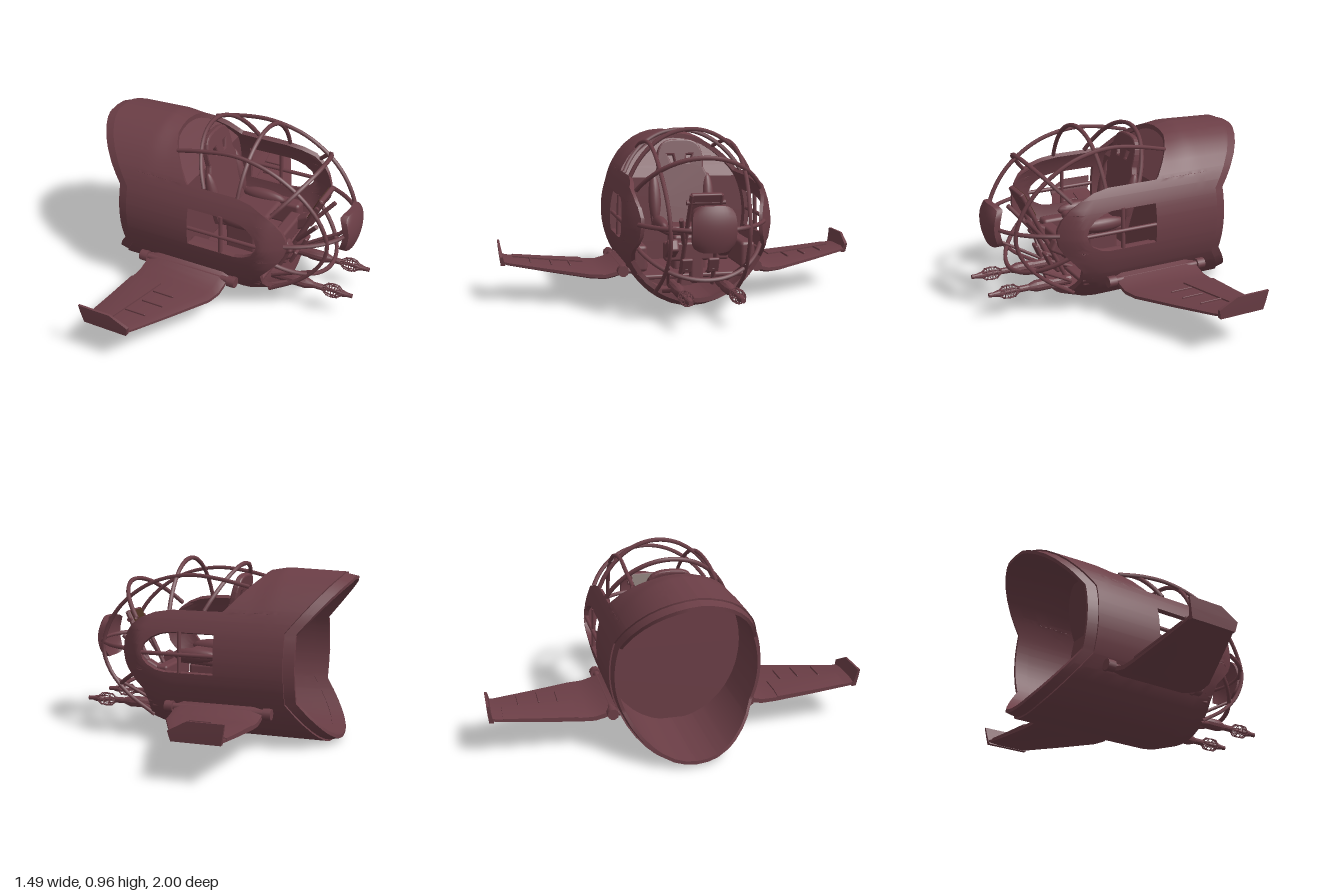
import * as THREE from 'three';
import { toCreasedNormals } from 'three/addons/utils/BufferGeometryUtils.js';
import { RoundedBoxGeometry } from 'three/addons/geometries/RoundedBoxGeometry.js';

const paint = new THREE.MeshStandardMaterial({ color: 0x6b3e46, side: THREE.DoubleSide });
const brown = new THREE.MeshStandardMaterial({ color: 0x4a3020 });
const V = (x, y, z) => new THREE.Vector3(x, y, z);
const ramp = (x, a, b) => THREE.MathUtils.clamp((x - a) / (b - a), 0, 1);

// Piecewise-linear lookup in [[key, value], ...]
function lerpTable(t, k) {
  if (k <= t[0][0]) return t[0][1];
  for (let i = 1; i < t.length; i++) {
    if (k <= t[i][0]) {
      const f = (k - t[i - 1][0]) / (t[i][0] - t[i - 1][0]);
      return t[i - 1][1] + f * (t[i][1] - t[i - 1][1]);
    }
  }
  return t[t.length - 1][1];
}

// Side outlines of the hull as x for each height y
const REAR = [[0, -0.64], [0.02, -0.63], [0.25, -0.47], [0.62, -0.47], [0.9, -0.69], [0.91, -0.69]];
const FRONT = [[0, 0.33], [0.06, 0.32], [0.18, 0.295], [0.27, 0.305], [0.34, 0.365], [0.38, 0.4], [0.42, 0.422], [0.47, 0.432],
  [0.52, 0.427], [0.57, 0.408], [0.62, 0.37], [0.66, 0.315], [0.69, 0.24], [0.705, 0.15], [0.706, -0.13], [0.72, -0.145],
  [0.885, -0.285], [0.91, -0.295]];
const WINDOW = [[0.385, 0.17], [0.395, 0.22], [0.42, 0.265], [0.45, 0.29], [0.49, 0.3], [0.53, 0.285], [0.565, 0.245], [0.585, 0.2], [0.595, 0.15]];
const rear = y => lerpTable(REAR, y), front = y => lerpTable(FRONT, y), win = y => lerpTable(WINDOW, y);
const MID = 0.455;
const hullZ = y => 0.395 * Math.sqrt(Math.max(0, 1 - ((y - MID) / MID) ** 2));

// Grid of closed rings joined into a skin, with caps on the first and last ring
function skin(rings) {
  const m = rings[0].length, pos = rings.flat().flatMap(p => [p.x, p.y, p.z]), idx = [];
  for (let i = 0; i + 1 < rings.length; i++) {
    for (let j = 0; j < m; j++) {
      const a = i * m + j, b = i * m + (j + 1) % m;
      idx.push(a, b, b + m, a, b + m, a + m);
    }
  }
  const last = (rings.length - 1) * m;
  for (let j = 0; j < m / 2 - 1; j++) {
    const a = j, b = j + 1, c = m - 2 - j, d = m - 1 - j;
    idx.push(a, c, b, a, d, c, last + a, last + b, last + c, last + a, last + c, last + d);
  }
  const g = new THREE.BufferGeometry();
  g.setAttribute('position', new THREE.Float32BufferAttribute(pos, 3));
  g.setIndex(idx);
  return toCreasedNormals(g, 0.6);
}

// Curved wall between two side outlines, with thickness; belly, nose and roof narrow toward the ends
function hullPanel(y0, y1, xa, xb, side, outerRear = 1, outerFront = 1, inner = 0.94) {
  const ys = new Set([y0, y1]);
  for (let i = 0; i <= 20; i++) ys.add(MID - MID * Math.cos(i * Math.PI / 20));
  for (const [y] of [...REAR, ...FRONT, ...WINDOW]) ys.add(y);
  const N = 22;
  const rows = [...ys].filter(y => y >= y0 && y <= y1).sort((a, b) => a - b);
  return skin(rows.map(y => {
    const up = Math.max(0, y / MID - 1);
    const at = (i, s) => {
      const x = xa(y) + (xb(y) - xa(y)) * i / N;
      const belly = 1 - 0.11 * ramp(x, 0.18, 0.33) * Math.max(0, 1 - y / MID);
      const roof = 1 - 0.035 * ramp(x, -0.38, -0.29) * up ** 4 - 0.025 * ramp(-x, 0.4, 0.7) * up ** 2;
      const nose = 1 - 0.2 * Math.max(0, (x - 0.31) / 0.12) ** 1.5;
      return V(x, MID + (y - MID) * s * belly * roof, side * hullZ(y) * s * belly * roof * nose);
    };
    const ring = [];
    for (let i = 0; i <= N; i++) ring.push(at(i, outerRear + (outerFront - outerRear) * i / N));
    for (let i = N; i >= 0; i--) ring.push(at(i, inner));
    return ring;
  }));
}

// Wing height, leading edge and half thickness along the span
const WING_Y = [[0.34, 0.2], [0.4, 0.178], [0.45, 0.166], [0.52, 0.168], [0.75, 0.19], [0.95, 0.212], [0.99, 0.222]];
const WING_X = [[0.34, 0.12], [0.45, 0.115], [0.53, 0.1], [0.95, -0.1], [0.99, -0.115]];
const WING_H = [[0.34, 0.027], [0.5, 0.021], [0.99, 0.014]];
const wingTop = z => lerpTable(WING_Y, z) + lerpTable(WING_H, z);

export function createModel() {
  const root = new THREE.Group();
  const add = (name, geo, parent = root, mat = paint) => {
    const m = new THREE.Mesh(geo, mat);
    m.name = name;
    parent.add(m);
    return m;
  };
  const box = (name, w, h, d, x, y, z, r = 0.01, parent = root) => {
    const m = add(name, new RoundedBoxGeometry(w, h, d, 2, r), parent);
    m.position.set(x, y, z);
    return m;
  };
  const rod = (name, pts, r, parent = root, seg = 40) =>
    add(name, new THREE.TubeGeometry(new THREE.CatmullRomCurve3(pts), seg, r, 6), parent);
  const bar = (name, a, b, r, parent = root) => {
    const m = add(name, new THREE.CylinderGeometry(r, r, a.distanceTo(b), 10), parent);
    m.position.copy(a).lerp(b, 0.5);
    m.quaternion.setFromUnitVectors(V(0, 1, 0), b.clone().sub(a).normalize());
    return m;
  };

  for (const s of [1, -1]) {
    // Hull half with its side window and tapered rear lip
    const hull = new THREE.Group();
    hull.name = s > 0 ? 'leftHull' : 'rightHull';
    root.add(hull);
    add('lowerHull', hullPanel(0, 0.385, rear, front, s), hull);
    add('rearSide', hullPanel(0.385, 0.595, rear, () => -0.1, s), hull);
    add('frontSide', hullPanel(0.385, 0.595, win, front, s), hull);
    add('upperHull', hullPanel(0.595, 0.91, rear, front, s), hull);
    add('rearLip', hullPanel(0, 0.91, y => rear(y) - 0.055, y => rear(y) + 0.02, s, 0.955, 0.99, 0.915), hull);
    bar('windowBar', V(-0.11, 0.48, s * 0.382), V(0.31, 0.48, s * 0.382), 0.011, hull);
    bar('windowPost', V(0.09, 0.38, s * 0.38), V(0.09, 0.6, s * 0.372), 0.011, hull);

    // Wing lofted from root to tip
    const wing = new THREE.Group();
    wing.name = s > 0 ? 'leftWing' : 'rightWing';
    root.add(wing);
    add('wingPanel', skin([0.34, 0.37, 0.4, 0.45, 0.49, 0.53, 0.75, 0.95, 0.99].map(z => {
      const y = lerpTable(WING_Y, z), f = lerpTable(WING_X, z), r = -0.36, h = lerpTable(WING_H, z);
      return [V(r, y + h * 0.5, s * z), V(r + 0.06, y + h, s * z), V(f - 0.04, y + h, s * z), V(f, y + h * 0.4, s * z),
        V(f, y - h * 0.4, s * z), V(f - 0.04, y - h, s * z), V(r + 0.06, y - h, s * z), V(r, y - h * 0.5, s * z)];
    })), wing);
    const tip = [[0.2, -0.36, -0.115, 0.966, 0.99], [0.25, -0.37, -0.102, 0.979, 0.996], [0.303, -0.38, -0.2, 0.988, 1]];
    add('winglet', skin(tip.map(([y, r, f, i, o]) => [V(r, y, s * i), V(f, y, s * i), V(f, y, s * o), V(r, y, s * o)])), wing);
    // Raised flap and small ribs on the wing
    add('flap', skin([0.54, 0.75, 0.92].map(z => {
      const y = wingTop(z), f = -0.18 - 0.055 * (z - 0.54) / 0.38;
      return [V(-0.363, y - 0.004, s * z), V(-0.3, y + 0.008, s * z), V(f, y + 0.008, s * z),
        V(f, y - 0.008, s * z), V(-0.3, y - 0.008, s * z), V(-0.363, y - 0.014, s * z)];
    })), wing);
    for (const [z, x] of [[0.62, -0.12], [0.72, -0.125], [0.83, -0.16]])
      box('wingRib', 0.12, 0.016, 0.008, x, wingTop(z) + 0.002, s * z, 0.003, wing);
    // Hinge
    bar('hingeRod', V(-0.38, 0.2, s * 0.362), V(0.14, 0.2, s * 0.362), 0.018, wing);
    for (const x of [-0.385, 0.15]) {
      bar('hingeKnob', V(x - 0.022, 0.2, s * 0.365), V(x + 0.022, 0.2, s * 0.365), 0.03, wing);
      bar('hingePin', V(x, 0.2, s * 0.32), V(x, 0.2, s * 0.38), 0.016, wing);
    }

    // Gun with a wire cage around the barrel
    const gun = new THREE.Group();
    gun.name = s > 0 ? 'leftGun' : 'rightGun';
    gun.position.set(0, 0.148, s * 0.13);
    root.add(gun);
    const prof = [[0, 0.28], [0.026, 0.28], [0.026, 0.38], [0.031, 0.4], [0.031, 0.48], [0.017, 0.52], [0.017, 0.57],
      [0.01, 0.59], [0.01, 0.65], [0.018, 0.665], [0.018, 0.69], [0.012, 0.715], [0.012, 0.74], [0, 0.74]];
    const lathe = new THREE.LatheGeometry(prof.map(p => new THREE.Vector2(...p)), 12).rotateZ(-Math.PI / 2);
    add('barrel', toCreasedNormals(lathe, 0.5), gun);
    for (let i = 0; i < 8; i++) {
      const c = Math.cos(i * Math.PI / 4), d = Math.sin(i * Math.PI / 4);
      rod('cageWire', [[0.57, 0.01], [0.6, 0.03], [0.63, 0.036], [0.66, 0.03], [0.69, 0.01]].map(([x, r]) => V(x, r * c, r * d)), 0.003, gun, 8);
    }
    for (const x of [0.6, 0.63, 0.66])
      add('cageRing', new THREE.TorusGeometry(0.033, 0.003, 4, 16).rotateY(Math.PI / 2), gun).position.x = x;
    bar('gunBrace', V(0.28, 0.11, s * 0.19), V(0.44, 0.15, s * 0.13), 0.012);

    // Long canopy rib
    rod('canopyRib', [[-0.24, 0.825, 0.22], [-0.08, 0.86, 0.225], [0.1, 0.875, 0.22], [0.3, 0.83, 0.22], [0.47, 0.72, 0.215], [0.57, 0.59, 0.205],
      [0.61, 0.46, 0.2], [0.575, 0.34, 0.2], [0.47, 0.22, 0.21], [0.3, 0.11, 0.22]].map(([x, y, z]) => V(x, y, s * z)), 0.011);

    // Cockpit side fittings
    box('sideConsole', 0.4, 0.14, 0.08, 0.06, 0.28, s * 0.29, 0.02);
    for (let i = 0; i < 3; i++)
      bar('sideRail', V(-0.15, 0.21 + i * 0.055, s * (0.305 + i * 0.015)), V(0.29, 0.21 + i * 0.055, s * (0.305 + i * 0.015)), 0.009);
    box('instrumentPod', 0.13, 0.07, 0.06, 0.33, 0.34, s * 0.14, 0.015).rotation.z = 0.5;
    bar('controlStrut', V(0.28, 0.14, s * 0.09), V(0.52, 0.64, s * 0.075), 0.012);
    bar('lowerStrut', V(0.29, 0.15, s * 0.15), V(0.54, 0.29, s * 0.2), 0.009);
    bar('controlGrip', V(0.4, 0.38, s * 0.09), V(0.52, 0.52, s * 0.13), 0.012);
    bar('pedalArm', V(0.24, 0.19, s * 0.07), V(0.38, 0.25, s * 0.07), 0.012);
    box('pedal', 0.02, 0.08, 0.06, 0.38, 0.26, s * 0.07, 0.008).rotation.z = -0.4;
  }

  // Canopy hoops: base point on the hull edge, then outermost point
  for (const [bx, by, x, y] of [[-0.03, 0.705, -0.14, 0.925], [0.163, 0.7, 0.17, 0.945], [0.35, 0.65, 0.5, 0.82],
    [0.36, 0.36, 0.57, 0.22], [0.42, 0.485, 0.68, 0.485]]) {
    const pts = [];
    for (let i = 0; i <= 16; i++) {
      const a = 0.5 + (Math.PI - 1) * i / 16, f = (Math.sin(a) - Math.sin(0.5)) / (1 - Math.sin(0.5));
      pts.push(V(bx + (x - bx) * f, by + (y - by) * f, 0.37 * Math.cos(a)));
    }
    rod('canopyHoop', pts, 0.012);
  }

  // Curved nose plate with rounded corners
  const plate = new THREE.BoxGeometry(0.032, 0.23, 0.22, 1, 10, 10);
  const p = plate.attributes.position;
  for (let i = 0; i < p.count; i++) {
    const y = p.getY(i), z = p.getZ(i), v = y / 0.115, w = z / 0.11;
    p.setXYZ(i, p.getX(i) - 0.025 * v * v - 0.02 * w * w, y * (1 - 0.16 * w ** 4), z * (1 - 0.16 * v ** 4));
  }
  plate.deleteAttribute('normal');
  add('nosePlate', toCreasedNormals(plate, 0.7)).position.set(0.693, 0.49, 0);

  // Floor, and a bulkhead that slopes back under the hull's upper edge
  box('floor', 0.44, 0.025, 0.6, 0.06, 0.185, 0);
  const slope = [[0.03, -0.16], [0.66, -0.16], [0.88, -0.33]];
  add('bulkhead', skin([0.035, 0.06, 0.1, 0.18, 0.3, 0.46, 0.58, 0.66, 0.72, 0.78, 0.83, 0.86, 0.868].map(y => {
    const x = lerpTable(slope, y), z = 0.955 * hullZ(MID + (y - MID) / 0.955);
    return [V(x, y, -z), V(x, y, z), V(x - 0.02, y, z), V(x - 0.02, y, -z)];
  })));

  // Seat: slotted backrest, cushion, bolsters and pedestal
  const seat = new THREE.Group();
  seat.name = 'seat';
  root.add(seat);
  const back = new THREE.Shape();
  back.moveTo(-0.16, 0);
  back.lineTo(0.16, 0);
  back.bezierCurveTo(0.19, 0.25, 0.13, 0.28, 0.12, 0.32);
  back.bezierCurveTo(0.13, 0.46, 0.08, 0.47, 0, 0.47);
  back.bezierCurveTo(-0.08, 0.47, -0.13, 0.46, -0.12, 0.32);
  back.bezierCurveTo(-0.13, 0.28, -0.19, 0.25, -0.16, 0);
  for (const s of [1, -1])
    back.holes.push(new THREE.Path([[0.02, 0.34], [0.06, 0.34], [0.08, 0.4], [0.03, 0.4]].map(([a, b]) => new THREE.Vector2(s * a, b))));
  const backGeo = new THREE.ExtrudeGeometry(back, { depth: 0.02, bevelSize: 0.01, bevelThickness: 0.008, bevelSegments: 2, curveSegments: 10 });
  const backrest = add('backrest', backGeo.rotateY(Math.PI / 2), seat);
  backrest.position.set(-0.05, 0.4, 0);
  backrest.rotation.z = 0.22;
  const cushionRadii = [[0.13, 0.04, 0.035, 0.09, 0.435], [0.035, 0.14, 0.035, -0.07, 0.55]];
  box('cushion', 0.25, 0.05, 0.3, 0.08, 0.405, 0, 0.024, seat).rotation.z = 0.06;
  for (const s of [1, -1]) {
    cushionRadii.forEach(([rx, ry, rz, x, y], i) => {
      const b = add(i ? 'backBolster' : 'bolster', new THREE.SphereGeometry(1, 16, 10), seat);
      b.scale.set(rx, ry, rz);
      b.position.set(x, y, s * 0.15);
      b.rotation.z = i ? 0.22 : 0;
    });
  }
  box('pedestal', 0.18, 0.2, 0.18, 0.06, 0.28, 0, 0.02, seat);

  // Dashboard and tilted screen
  box('dashboard', 0.07, 0.1, 0.34, 0.28, 0.32, 0, 0.015);
  box('controlColumn', 0.05, 0.2, 0.07, 0.29, 0.25, 0, 0.015);
  bar('crossBar', V(0.5, 0.6, -0.1), V(0.5, 0.6, 0.1), 0.012);
  const display = box('screenHousing', 0.025, 0.16, 0.16, 0.485, 0.575, 0, 0.008);
  display.rotation.z = -0.45;
  add('screen', new THREE.BoxGeometry(0.006, 0.14, 0.14), display, brown).position.x = -0.013;
  return root;
}
